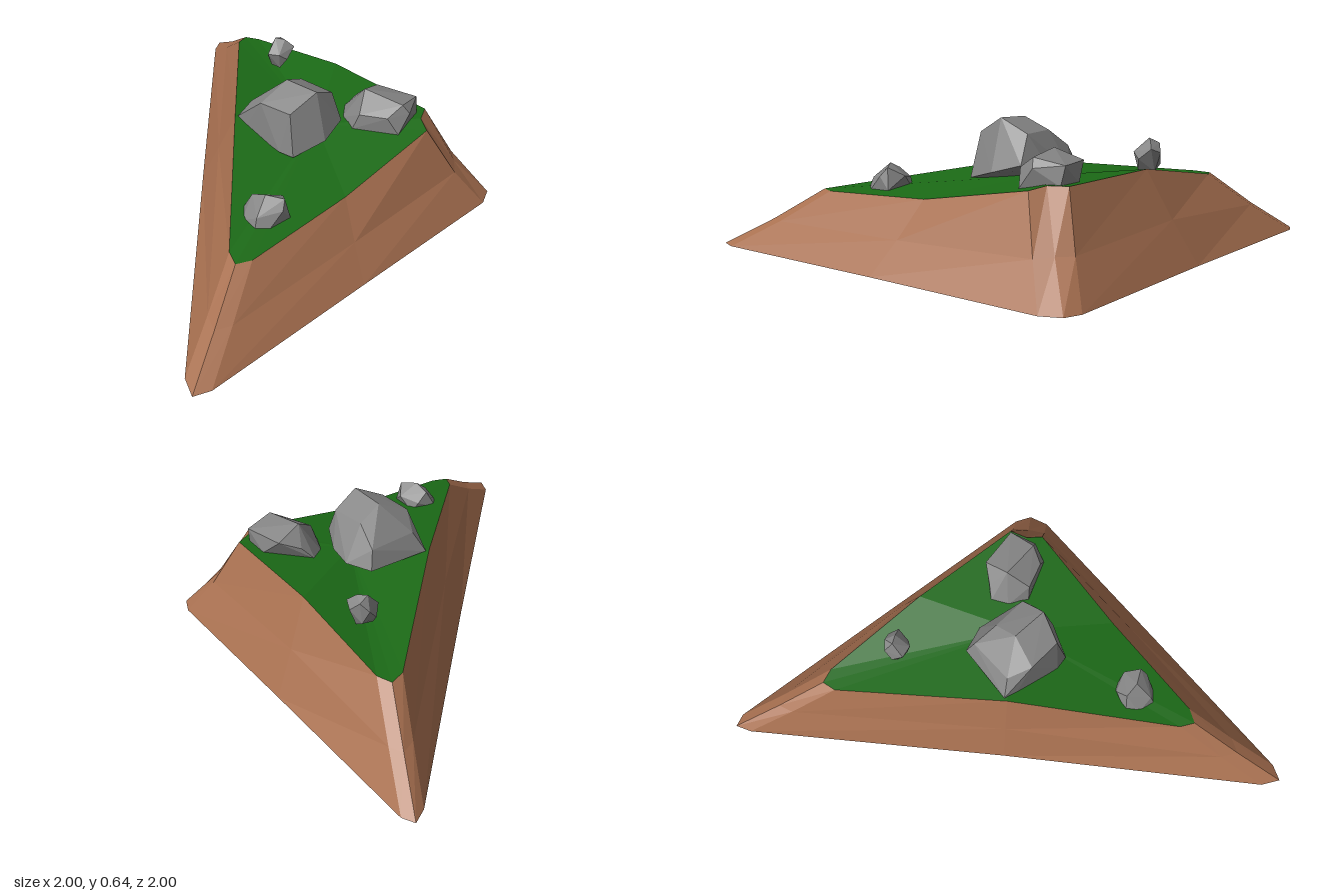
import * as THREE from 'three';
import { ConvexGeometry } from 'three/addons/geometries/ConvexGeometry.js';

const material = (color) => new THREE.MeshStandardMaterial({ color, flatShading: true });

// Matching corner loops of the mound, clockwise from above: [x, y, z]
const BASE = [
  [-1, 0.01, -0.97], [-0.94, 0.01, -1], [0, 0.01, -1], [0.88, 0, -1],
  [0.96, 0, -0.97], [1, 0, -0.88], [1, 0.005, 0], [1, 0.005, 0.92],
  [0.97, 0.005, 1], [0.88, 0.01, 0.96], [-0.04, 0.045, 0.03], [-0.96, 0.01, -0.9],
];
const TOP = [
  [-0.55, 0.325, -0.75], [-0.48, 0.33, -0.78], [0.08, 0.425, -0.78], [0.66, 0.43, -0.78],
  [0.7, 0.43, -0.7], [0.77, 0.415, -0.66], [0.77, 0.315, -0.1], [0.77, 0.285, 0.48],
  [0.74, 0.285, 0.55], [0.67, 0.29, 0.52], [0.07, 0.405, -0.08], [-0.53, 0.33, -0.68],
];
// Halfway loop, sagging a little so the slopes are slightly concave
const MIDDLE = BASE.map((b, i) => {
  const sag = i === 10 ? 0 : i >= 3 && i <= 5 ? 0.03 : 0.01;
  return b.map((v, k) => (v + TOP[i][k]) / 2 - (k === 1 ? sag : 0));
});

function facetedMesh(name, triangles, mat) {
  const geometry = new THREE.BufferGeometry();
  geometry.setAttribute('position', new THREE.Float32BufferAttribute(triangles.flat(2), 3));
  geometry.computeVertexNormals();
  const mesh = new THREE.Mesh(geometry, mat);
  mesh.name = name;
  return mesh;
}

// Band of quads between two loops
const band = (low, high) => low.flatMap((a, i) => {
  const j = (i + 1) % low.length;
  return [[a, high[i], low[j]], [low[j], high[i], high[j]]];
});

// Fan of triangles closing a loop
const cap = (loop, center, up) => loop.map((a, i) => {
  const b = loop[(i + 1) % loop.length];
  return up ? [center, b, a] : [center, a, b];
});

// Rock corners, each the hull of a few points
const ROCKS = {
  largeBoulder: [
    [0.07, 0.405, -0.1], [0.08, 0.41, -0.41], [0.13, 0.38, -0.09], [0.21, 0.41, -0.465],
    [0.12, 0.5, -0.14], [0.11, 0.5, -0.38], [0.25, 0.635, -0.24], [0.23, 0.58, -0.36],
    [0.43, 0.645, -0.25], [0.41, 0.58, -0.38], [0.34, 0.42, -0.45], [0.47, 0.45, -0.39],
    [0.5, 0.41, -0.25], [0.45, 0.365, -0.09], [0.38, 0.37, -0.07], [0.23, 0.56, -0.09],
    [0.4, 0.57, -0.11], [0.3, 0.36, -0.25],
  ],
  flatBoulder: [
    [0.35, 0.4, -0.55], [0.38, 0.46, -0.6], [0.43, 0.5, -0.69], [0.52, 0.42, -0.73],
    [0.63, 0.505, -0.74], [0.65, 0.42, -0.73], [0.69, 0.49, -0.62], [0.69, 0.4, -0.55],
    [0.66, 0.53, -0.6], [0.46, 0.545, -0.56], [0.5, 0.39, -0.44], [0.4, 0.39, -0.48],
    [0.52, 0.47, -0.46], [0.64, 0.48, -0.52],
  ],
  frontRock: [
    [0.51, 0.3, 0.3], [0.53, 0.35, 0.2], [0.55, 0.3, 0.17], [0.62, 0.37, 0.15],
    [0.7, 0.31, 0.18], [0.7, 0.37, 0.23], [0.69, 0.3, 0.3], [0.65, 0.295, 0.35],
    [0.56, 0.3, 0.34], [0.54, 0.39, 0.26], [0.61, 0.42, 0.25], [0.68, 0.41, 0.2],
    [0.64, 0.35, 0.33],
  ],
  smallRock: [
    [-0.24, 0.46, -0.64], [-0.23, 0.41, -0.6], [-0.21, 0.5, -0.67], [-0.2, 0.52, -0.62],
    [-0.16, 0.515, -0.65], [-0.17, 0.46, -0.7], [-0.12, 0.48, -0.68], [-0.11, 0.43, -0.62],
    [-0.13, 0.46, -0.58], [-0.19, 0.45, -0.56], [-0.2, 0.37, -0.6], [-0.14, 0.375, -0.6],
    [-0.17, 0.37, -0.67], [-0.22, 0.4, -0.67],
  ],
};

export function createModel() {
  const group = new THREE.Group();
  group.name = 'rockyMound';
  const earth = material(0xa87050);
  const grass = material(0x1b6a16);
  const stone = material(0x858585);

  // Earth slopes, grassy top and underside
  group.add(facetedMesh('earthSlopes', [...band(BASE, MIDDLE), ...band(MIDDLE, TOP)], earth));
  group.add(facetedMesh('grassTop', cap(TOP, [0.35, 0.385, -0.35], true), grass));
  group.add(facetedMesh('underside', cap(BASE, [0.35, 0.02, -0.35], false), grass));

  // Rocks resting on the grass
  for (const [name, corners] of Object.entries(ROCKS)) {
    const rock = new THREE.Mesh(new ConvexGeometry(corners.map((c) => new THREE.Vector3(...c))), stone);
    rock.name = name;
    group.add(rock);
  }
  return group;
}
